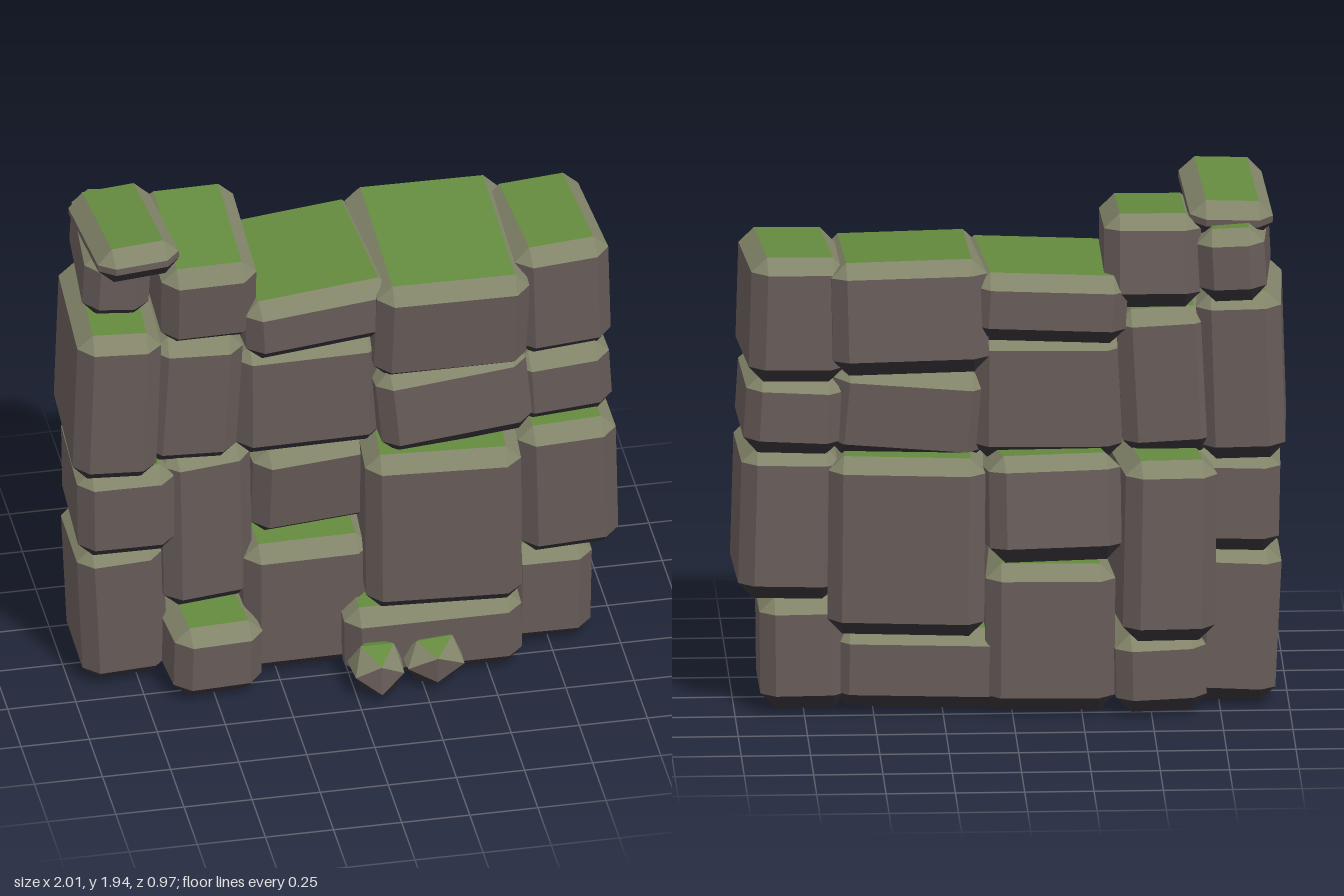
import * as THREE from 'three';
import { ConvexGeometry } from 'three/addons/geometries/ConvexGeometry.js';

const mat = (name, color) => {
  const m = new THREE.MeshStandardMaterial({ color });
  m.name = name;
  return m;
};
const materials = [
  mat('moss', 0x648a3e),
  mat('mossyEdge', 0x83856a),
  mat('stone', 0x675c59),
  mat('darkUnderside', 0x353037),
];

// Convex faceted solid whose faces take a material by how far they face upward
function facetedSolid(points, topLimit) {
  const geo = new ConvexGeometry(points);
  const pos = geo.attributes.position;
  const bins = [[], [], [], []];
  const tri = new THREE.Triangle(), n = new THREE.Vector3();
  for (let i = 0; i < pos.count; i += 3) {
    tri.setFromAttributeAndIndices(pos, i, i + 1, i + 2);
    tri.getNormal(n);
    const bin = n.y > topLimit ? 0 : n.y > 0.3 ? 1 : n.y > -0.35 ? 2 : 3;
    bins[bin].push(i, i + 1, i + 2);
  }
  geo.setIndex(bins.flat());
  let start = 0;
  bins.forEach((b, k) => {
    if (b.length) geo.addGroup(start, b.length, k);
    start += b.length;
  });
  return new THREE.Mesh(geo, materials);
}

// Block with bevelled edges: three points per corner
function block(w, h, d, c) {
  const pts = [];
  for (const x of [-1, 1]) for (const y of [-1, 1]) for (const z of [-1, 1]) {
    const a = x * w / 2, b = y * h / 2, e = z * d / 2;
    pts.push(new THREE.Vector3(a, b - y * c, e - z * c));
    pts.push(new THREE.Vector3(a - x * c, b, e - z * c));
    pts.push(new THREE.Vector3(a - x * c, b - y * c, e));
  }
  return facetedSolid(pts, 0.9);
}

// Each stone: extents x0 x1 y0 y1 z0 z1, then tilts about x, y, z
const courses = {
  bottomStone: [
    [-0.97, -0.64, 0.02, 0.62, -0.23, 0.19, 0.03, 0, 0.05],
    [-0.69, -0.33, 0.02, 0.33, -0.36, 0.36, 0.02, 0.08, -0.02],
    [-0.37, 0.10, 0.02, 0.58, -0.32, 0.23, 0.03, 0, 0.01],
    [-0.02, 0.64, 0.02, 0.34, -0.28, 0.36, 0.02, -0.03, 0.02],
    [0.59, 0.91, 0.02, 0.45, -0.26, 0.22, 0.04, 0, -0.01],
  ],
  secondStone: [
    [-0.98, -0.61, 0.59, 0.98, -0.25, 0.25, 0.03, -0.04, 0.02],
    [-0.72, -0.34, 0.32, 1.01, -0.49, 0.22, 0.02, 0.11, 0.02],
    [-0.38, 0.14, 0.56, 1.03, -0.49, 0.20, 0.14, 0.11, -0.01],
    [0.06, 0.66, 0.32, 1.00, -0.38, 0.40, 0.02, -0.08, 0.01],
    [0.62, 0.995, 0.43, 1.02, -0.30, 0.29, 0.05, 0.02, 0.03],
  ],
  thirdStone: [
    [-1.00, -0.67, 0.95, 1.59, -0.30, 0.30, 0.02, -0.05, -0.03],
    [-0.73, -0.38, 0.96, 1.53, -0.28, 0.25, 0.04, 0, -0.05],
    [-0.40, 0.14, 0.95, 1.43, -0.25, 0.22, 0.02, 0, 0.01],
    [0.09, 0.67, 0.94, 1.35, -0.26, 0.33, -0.05, 0.02, 0.09],
    [0.61, 0.98, 0.98, 1.30, -0.29, 0.24, 0.02, 0.03, 0.06],
  ],
  topStone: [
    [-0.94, -0.67, 1.56, 1.85, -0.37, 0.16, 0.02, -0.08, -0.05],
    [-0.68, -0.33, 1.48, 1.88, -0.30, 0.28, 0.12, 0, 0.01],
    [-0.41, 0.18, 1.40, 1.69, -0.36, 0.29, 0.02, 0.07, 0.06],
    [0.09, 0.66, 1.26, 1.74, -0.39, 0.33, 0.10, 0.01, -0.02],
    [0.60, 0.975, 1.26, 1.74, -0.31, 0.24, 0.02, 0.07, 0.03],
  ],
  capStone: [
    [-0.94, -0.62, 1.775, 1.96, -0.26, 0.31, -0.08, 0.05, 0.05],
  ],
};

export function createModel() {
  const model = new THREE.Group();
  model.name = 'ruinedStoneWall';

  for (const [name, stones] of Object.entries(courses)) {
    const course = new THREE.Group();
    course.name = name + 'Course';
    for (const [x0, x1, y0, y1, z0, z1, rx, ry, rz] of stones) {
      // Shrink each stone so that it fills its extents once tilted
      const w = x1 - x0, h = y1 - y0, d = z1 - z0;
      const [ax, ay, az] = [rx, ry, rz].map(Math.abs);
      const sh = h - 0.8 * (ax * d + az * w);
      const stone = block(
        w - 0.5 * (ay * d + az * h), sh, d - 0.6 * (ax * h + ay * w),
        Math.min(0.055, sh * 0.42));
      stone.name = name;
      stone.position.set((x0 + x1) / 2, (y0 + y1) / 2, (z0 + z1) / 2);
      stone.rotation.set(rx, ry, rz);
      course.add(stone);
    }
    model.add(course);
  }

  // Two mossy lumps of rubble at the foot of the wall: centre, width scale, seed
  const rubble = [[0.08, 0.115, 0.385, 1, 1], [0.29, 0.115, 0.365, 1.2, 5]];
  for (const [x, y, z, wide, seed] of rubble) {
    const p = new THREE.IcosahedronGeometry(0.105, 0).attributes.position;
    const pts = [];
    for (let i = 0; i < p.count; i++) {
      const v = new THREE.Vector3().fromBufferAttribute(p, i);
      const k = Math.sin(v.x * 70 + v.y * 43 + v.z * 91 + seed);
      v.multiplyScalar(1.02 + 0.1 * k);
      v.x *= wide;
      pts.push(v);
    }
    const lump = facetedSolid(pts, 0.68);
    lump.name = 'rubble';
    lump.position.set(x, y, z);
    model.add(lump);
  }
  return model;
}
